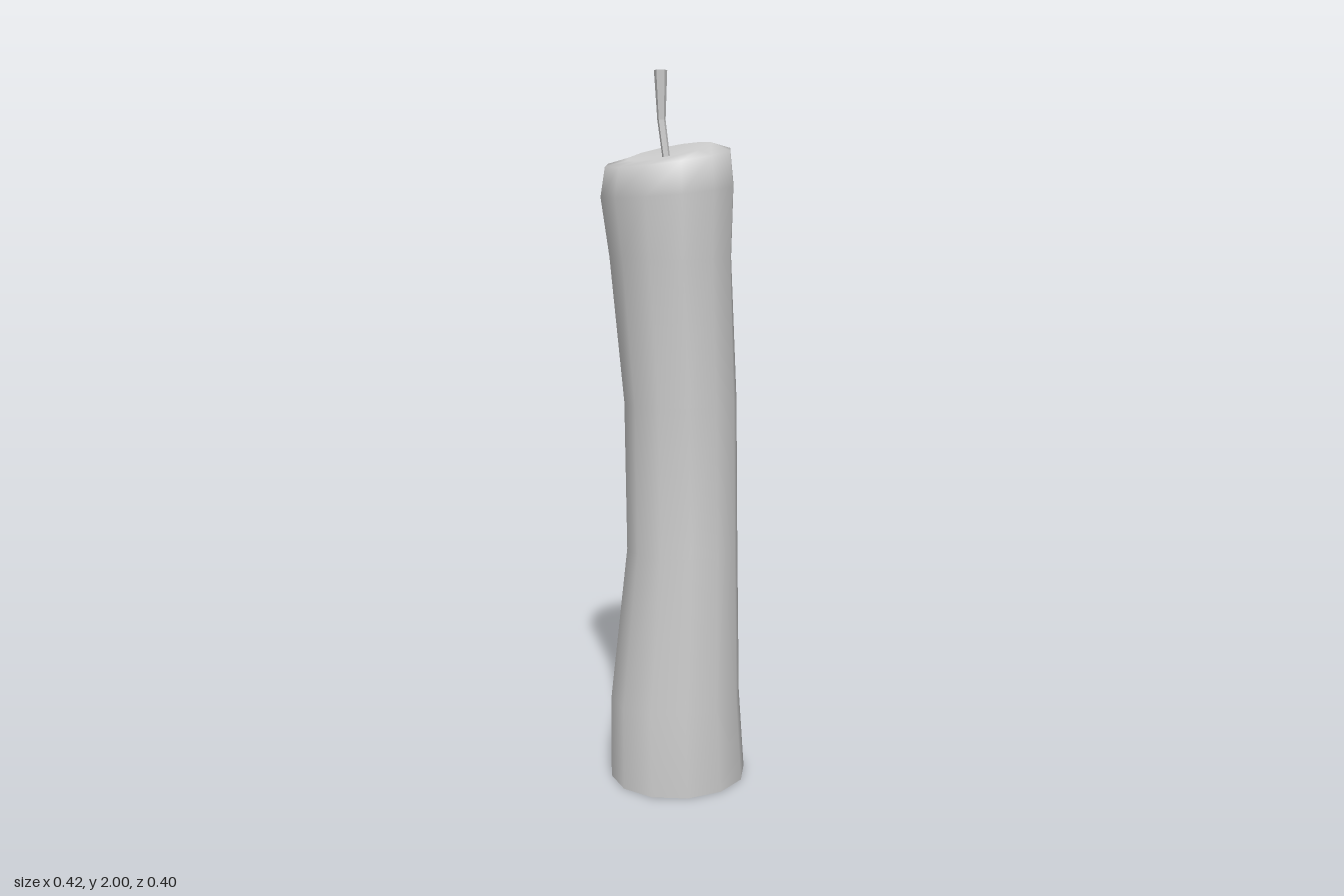
import * as THREE from 'three';

// Skin through rings [y, centreX, centreZ, radiusX, radiusZ, rise from front to back]
function loft(rings, sides, capStart, capEnd, phase = 0) {
  const pos = [], index = [];
  for (const [y, cx, cz, rx, rz, tilt = 0] of rings) {
    for (let i = 0; i < sides; i++) {
      const a = phase + (i / sides) * Math.PI * 2;
      pos.push(cx + rx * Math.sin(a), y - (tilt / 2) * Math.cos(a), cz + rz * Math.cos(a));
    }
  }
  for (let r = 0; r < rings.length - 1; r++) {
    for (let i = 0; i < sides; i++) {
      const a = r * sides + i, b = r * sides + (i + 1) % sides;
      index.push(a, b, b + sides, a, b + sides, a + sides);
    }
  }
  // Fan caps around a centre point
  const fan = (start, centre, up) => {
    const c = pos.length / 3;
    pos.push(...centre);
    for (let i = 0; i < sides; i++) {
      const a = start + i, b = start + (i + 1) % sides;
      if (up) index.push(a, b, c);
      else index.push(b, a, c);
    }
  };
  if (capStart) fan(0, capStart, false);
  if (capEnd) fan((rings.length - 1) * sides, capEnd, true);
  const geo = new THREE.BufferGeometry();
  geo.setAttribute('position', new THREE.Float32BufferAttribute(pos, 3));
  geo.setIndex(index);
  geo.computeVertexNormals();
  return geo;
}

export function createModel() {
  const group = new THREE.Group();
  group.name = 'candle';
  const add = (name, geo, flatShading = false) => {
    const mesh = new THREE.Mesh(geo, new THREE.MeshStandardMaterial({ color: 0xcccccc, flatShading }));
    mesh.name = name;
    group.add(mesh);
    return mesh;
  };

  // Leaning wax body with a narrow waist, rounded rim and slanted top
  add('waxBody', loft([
    [0, 0.017, 0, 0.19, 0.2],
    [0.24, 0.017, 0.01, 0.183, 0.19],
    [0.68, 0.022, -0.012, 0.153, 0.163],
    [1.1, 0.018, -0.008, 0.153, 0.163],
    [1.5, -0.005, 0.01, 0.177, 0.167],
    [1.68, -0.012, 0.016, 0.197, 0.179, 0.04],
    [1.77, -0.01, 0.016, 0.185, 0.168, 0.06],
    [1.786, -0.013, 0.008, 0.125, 0.113, 0.058],
  ], 12, null, [-0.01, 1.773, 0.015]));

  // Flat underside
  const base = add('waxBase', new THREE.CircleGeometry(1, 12));
  base.rotation.x = Math.PI / 2;
  base.position.x = 0.017;
  base.scale.set(0.19, 0.2, 1);

  // Bent wick, flaring towards its tip
  add('wick', loft([
    [1.755, -0.009, 0.02, 0.011, 0.011],
    [1.87, -0.02, 0.03, 0.012, 0.012],
    [2, -0.016, 0.036, 0.019, 0.019],
  ], 5, null, [-0.016, 2, 0.036], 0.25), true);

  return group;
}
